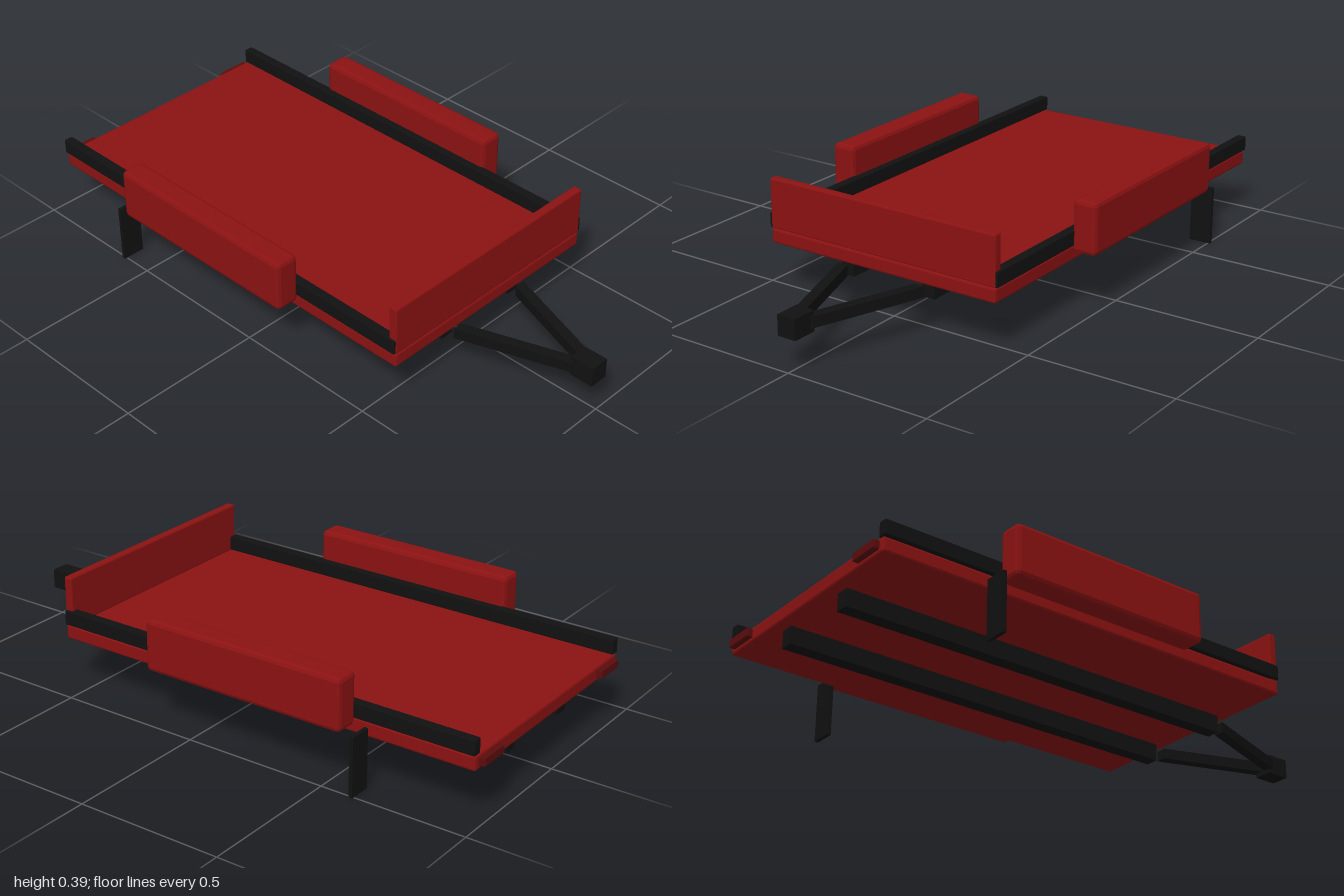
import * as THREE from 'three';
import { RoundedBoxGeometry } from 'three/addons/geometries/RoundedBoxGeometry.js';

const red = new THREE.MeshStandardMaterial({ color: 0x8b1212, flatShading: true });
const darkRed = new THREE.MeshStandardMaterial({ color: 0x5c0c0c, flatShading: true });
const black = new THREE.MeshStandardMaterial({ color: 0x111111, flatShading: true });

// Box given by its [min, max] along each axis, with an optional edge bevel
function box(name, [x0, x1], [y0, y1], [z0, z1], material, bevel = 0) {
  const size = [x1 - x0, y1 - y0, z1 - z0];
  const geometry = bevel
    ? new RoundedBoxGeometry(...size, 1, bevel)
    : new THREE.BoxGeometry(...size);
  const mesh = new THREE.Mesh(geometry, material);
  mesh.name = name;
  mesh.position.set((x0 + x1) / 2, (y0 + y1) / 2, (z0 + z1) / 2);
  return mesh;
}

// Same box on the left (+x) or right (-x) side
function sideBox(name, side, [x0, x1], ...rest) {
  return box(name, side > 0 ? [x0, x1] : [-x1, -x0], ...rest);
}

// Sloping arm of the A-frame; the ends are sheared so they stay square to z
function drawbarArm(side) {
  const rear = 0.147, front = 0.02, z0 = 0.565, z1 = 0.93;
  const geometry = new THREE.BoxGeometry(0.037, 0.037, z1 - z0);
  const p = geometry.attributes.position;
  for (let i = 0; i < p.count; i++) {
    const t = p.getZ(i) / (z1 - z0) + 0.5;
    p.setX(i, p.getX(i) + side * THREE.MathUtils.lerp(rear, front, t));
  }
  geometry.computeVertexNormals();
  const mesh = new THREE.Mesh(geometry, black);
  mesh.name = 'drawbarArm';
  mesh.position.set(0, 0.144, (z0 + z1) / 2);
  return mesh;
}

export function createModel() {
  const trailer = new THREE.Group();
  trailer.name = 'flatbedTrailer';

  // Load bed and headboard
  trailer.add(
    box('deck', [-0.43, 0.43], [0.17, 0.22], [-0.98, 0.57], red, 0.007),
    box('headboard', [-0.43, 0.43], [0.22, 0.388], [0.54, 0.57], red, 0.005),
    box('coupler', [-0.033, 0.033], [0.11, 0.178], [0.915, 1], black)
  );

  for (const side of [1, -1]) {
    trailer.add(
      // Deck edge rail and chassis beam
      sideBox('sideRail', side, [0.405, 0.437], [0.222, 0.272], [-0.98, 0.568], black, 0.003),
      sideBox('chassisBeam', side, [0.132, 0.18], [0.11, 0.172], [-0.94, 0.53], black),
      drawbarArm(side),
      // Fender box with a flap behind it
      sideBox('fender', side, [0.43, 0.515], [0.2, 0.375], [-0.572, 0.158], red, 0.014),
      sideBox('mudFlap', side, [0.43, 0.508], [0, 0.2], [-0.617, -0.604], black),
      // Tail light
      sideBox('tailLight', side, [0.3, 0.41], [0.183, 0.212], [-1, -0.97], darkRed, 0.003)
    );
  }
  return trailer;
}
